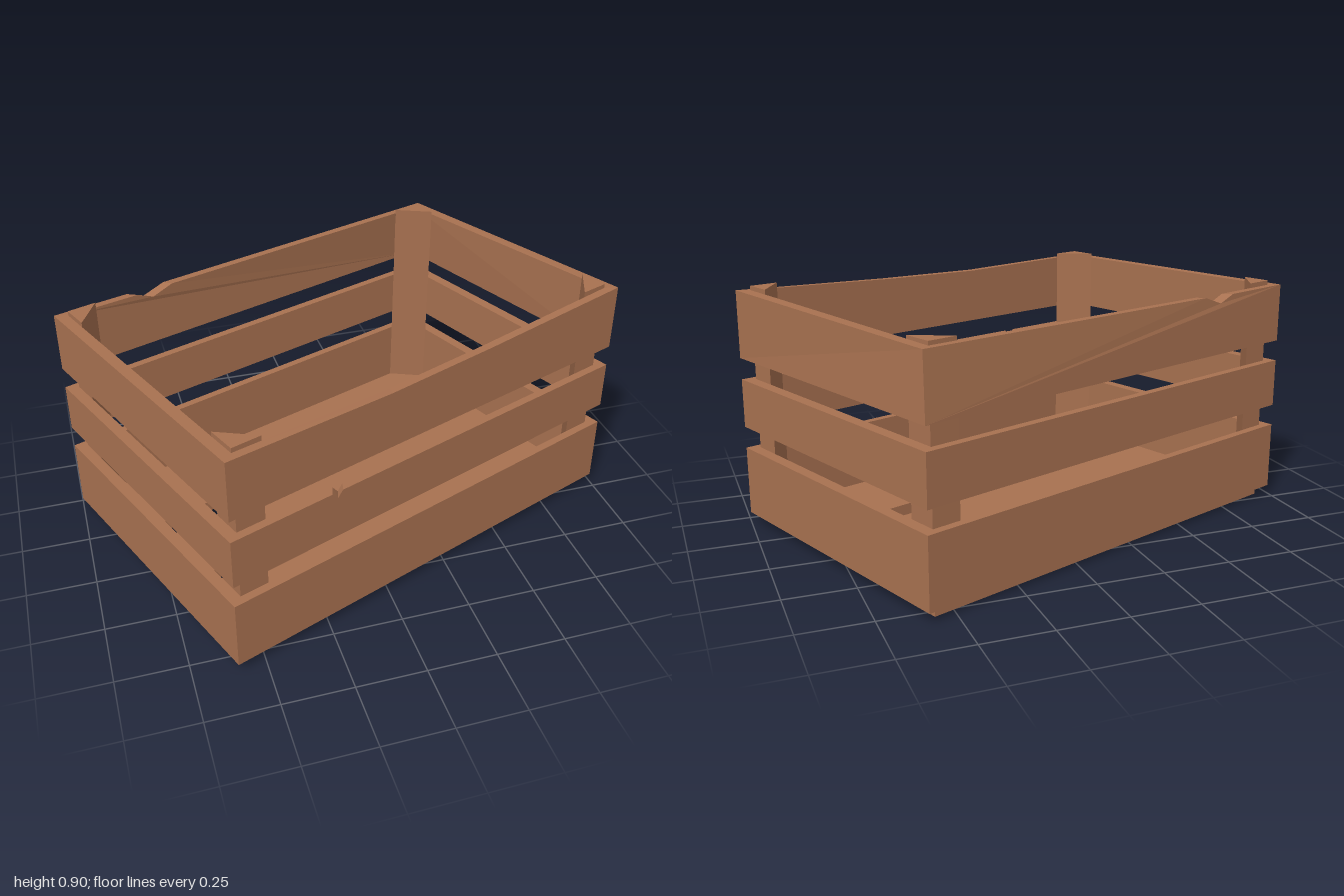
import * as THREE from 'three';

const HALF_L = 0.855, HALF_W = 0.56;   // outer half length and width
const LONG_T = 0.03, END_T = 0.042;    // board thickness of long and end walls

const wood = new THREE.MeshStandardMaterial({ color: 0xa87150 });
wood.name = 'brown wood';

// Move every vertex of a geometry by a rule, then refresh its flat normals
function reshape(geo, rule) {
  const pos = geo.attributes.position, p = new THREE.Vector3();
  for (let i = 0; i < pos.count; i++) {
    rule(p.fromBufferAttribute(pos, i));
    pos.setXYZ(i, p.x, p.y, p.z);
  }
  geo.computeVertexNormals();
  return geo;
}

// The top of the back +x corner sags inward
function sag(p) {
  const k = THREE.MathUtils.clamp((p.y - 0.635) / 0.22, 0, 1)
    * (p.x / HALF_L + 1) / 2 * (1 - p.z / HALF_W) / 2;
  p.x -= 0.014 * k;
  p.z += 0.024 * k;
}

// Mitred wall board; top is a list of [fraction along board, height]
function board(wall, bottom, top) {
  const { half, out, thick, inset, angle } = wall;
  const shape = new THREE.Shape();
  shape.moveTo(-half, bottom);
  shape.lineTo(half, bottom);
  for (const [t, y] of [...top].reverse()) shape.lineTo((2 * t - 1) * half, y);
  shape.closePath();
  const geo = new THREE.ExtrudeGeometry(shape, { depth: thick, bevelEnabled: false });
  reshape(geo, p => {
    if (p.z < thick / 2) p.x *= (half - inset) / half;
    p.z += out - thick;
  });
  geo.rotateY(angle);
  return reshape(geo, sag);
}

export function createModel() {
  const model = new THREE.Group();
  model.name = 'woodenCrate';
  const crate = new THREE.Group();
  crate.name = 'crateBody';
  crate.rotation.y = 0.366;
  model.add(crate);
  const add = (name, geo) => {
    const mesh = new THREE.Mesh(geo, wood);
    mesh.name = name;
    crate.add(mesh);
    return mesh;
  };

  // Walls: three boards each, with worn top edges and chips
  const flat = y => [[0, y], [1, y]];
  const long = { half: HALF_L, out: HALF_W, thick: LONG_T, inset: END_T };
  const end = { half: HALF_W, out: HALF_L, thick: END_T, inset: LONG_T };
  const walls = [
    { ...long, name: 'front', angle: 0,
      top: [[0, 0.855], [0.37, 0.846], [0.63, 0.858], [1, 0.885]],
      middle: [[0, 0.555], [0.228, 0.555], [0.241, 0.53], [0.253, 0.555], [1, 0.555]] },
    { ...long, name: 'back', angle: Math.PI,
      top: [[0, 0.858], [0.74, 0.855], [0.79, 0.825], [0.83, 0.852], [1, 0.855]] },
    { ...end, name: 'left', angle: Math.PI / 2, top: [[0, 0.885], [1, 0.858]] },
    { ...end, name: 'right', angle: -Math.PI / 2, top: flat(0.855) },
  ];
  for (const wall of walls) {
    add(wall.name + 'LowerBoard', board(wall, 0.035, flat(0.292)));
    add(wall.name + 'MiddleBoard', board(wall, 0.373, wall.middle || flat(0.555)));
    add(wall.name + 'TopBoard', board(wall, 0.635, wall.top));
  }

  // Floor boards
  const fx = HALF_L - END_T, fz = HALF_W - LONG_T, floorT = 0.045;
  for (const [z0, z1] of [[-fz, -0.224], [-0.139, 0.128], [0.216, fz]]) {
    add('floorBoard', new THREE.BoxGeometry(2 * fx, floorT, z1 - z0))
      .position.set(0, floorT / 2, (z0 + z1) / 2);
  }

  // Triangular corner posts
  const leg = 0.108;
  for (const sx of [-1, 1]) for (const sz of [-1, 1]) {
    const x = sx * fx, z = sz * fz;
    const height = sx > 0 && sz > 0 ? 0.9 : 0.872;
    const shape = new THREE.Shape([
      new THREE.Vector2(x, -z),
      new THREE.Vector2(x - sx * leg, -z),
      new THREE.Vector2(x, -z + sz * leg),
    ]);
    const geo = new THREE.ExtrudeGeometry(shape, { depth: height - floorT, bevelEnabled: false });
    geo.rotateX(-Math.PI / 2).translate(0, floorT, 0);
    // The post at the sagging corner leans with it
    if (sx > 0 && sz < 0) reshape(geo, p => {
      if (p.y > 0.5) { p.x -= 0.012; p.z += 0.02; }
    });
    add('cornerPost', geo);
  }
  return model;
}
